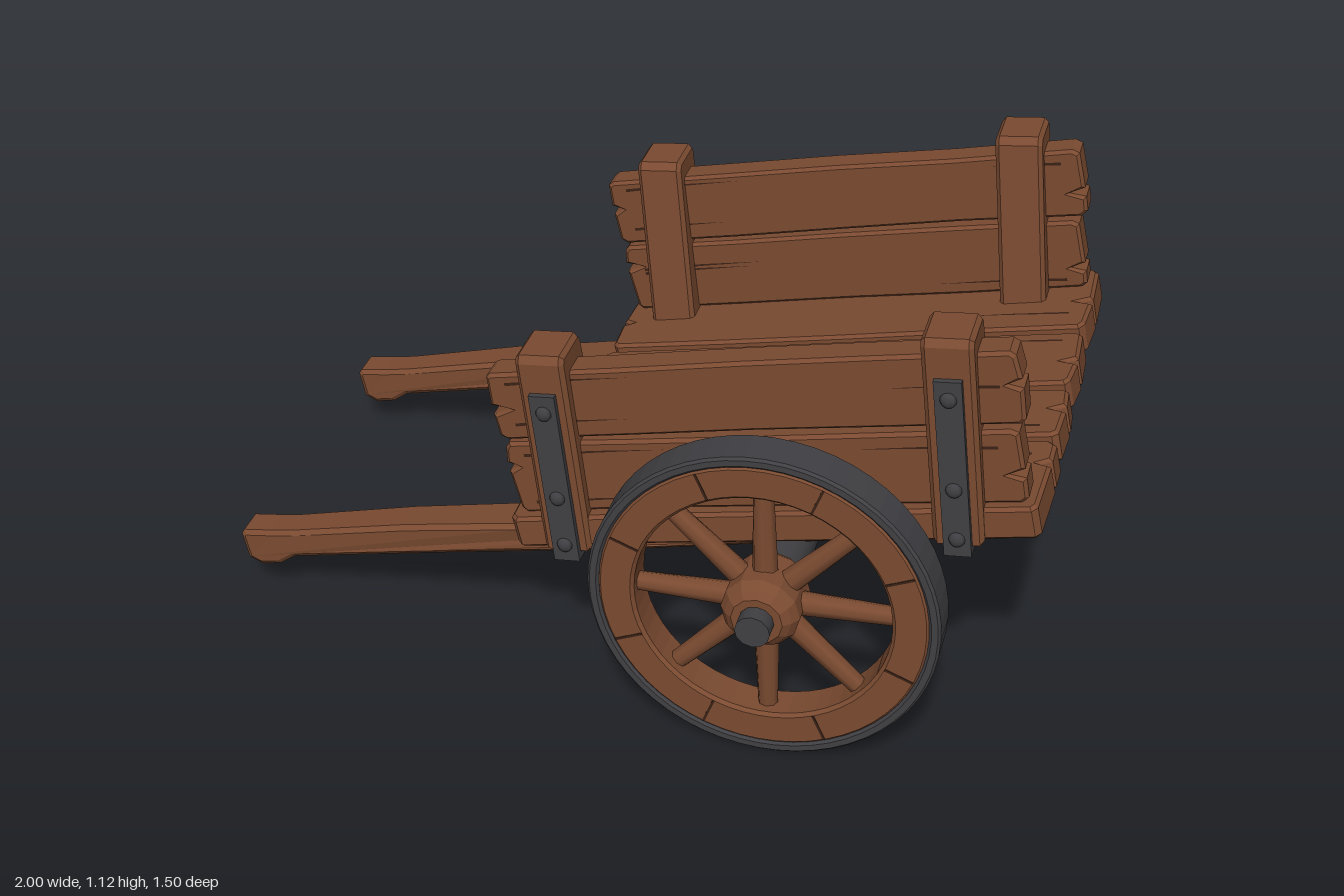
import * as THREE from 'three';

const wood = new THREE.MeshStandardMaterial({ color: 0x7b4b31 });
wood.name = 'wood';
const iron = new THREE.MeshStandardMaterial({ color: 0x404044 });
iron.name = 'iron';
const crackDark = new THREE.MeshStandardMaterial({ color: 0x3a2116, side: THREE.DoubleSide });
crackDark.name = 'crack dark';

const TILT = 0.216;

let seed = 7;
function rnd(a = -1, b = 1) {
  seed = (seed * 16807) % 2147483647;
  return a + (b - a) * (seed / 2147483647);
}

function add(parent, name, geometry, material, x = 0, y = 0, z = 0) {
  const mesh = new THREE.Mesh(geometry, material);
  mesh.name = name;
  mesh.position.set(x, y, z);
  parent.add(mesh);
  return mesh;
}

// Bevelled extrusion of an outline, centred on z
function slab(shape, depth, bevel, curveSegments = 1) {
  const g = new THREE.ExtrudeGeometry(shape, {
    depth: depth - 2 * bevel, bevelEnabled: bevel > 0, bevelThickness: bevel,
    bevelSize: bevel, bevelOffset: -bevel, bevelSegments: 1, curveSegments,
  });
  return g.translate(0, 0, bevel - depth / 2);
}

// Worn board: wavy long edges and a split notch in each end
function plank(length, width, thickness) {
  const l = length / 2, w = width / 2, pts = [];
  for (const s of [1, -1]) {
    for (let i = 0; i < 5; i++) pts.push([s * l * (-0.97 + i * 0.485), -s * (w - rnd(0, 0.007))]);
    const n = rnd(-0.4, 0.4) * w;
    pts.push([s * (l - rnd(0, 0.008)), -s * w * 0.85], [s * l, s * n - 0.012],
      [s * (l - rnd(0.025, 0.05)), s * n], [s * l, s * n + 0.012], [s * (l - rnd(0, 0.008)), s * w * 0.85]);
  }
  // Keep the notch corners in travel order on the second end
  [pts[16], pts[18]] = [pts[18], pts[16]];
  return slab(new THREE.Shape(pts.map((p) => new THREE.Vector2(...p))), thickness, 0.008);
}

// Thin dark splits lying on both faces of a board
function addCracks(board, length, width, thickness) {
  for (const side of [1, -1]) {
    for (let i = 0; i < 3; i++) {
      const len = rnd(0.15, 0.35), end = i % 2 ? 1 : -1;
      const s = new THREE.Shape([[0, -0.004], [len * 0.5, 0.003], [len, 0.006], [len * 0.5, 0.008], [0, 0.004]]
        .map((p) => new THREE.Vector2(...p)));
      const c = add(board, 'crack', new THREE.ShapeGeometry(s), crackDark,
        end * (length / 2 - 0.05), rnd(-0.36, 0.36) * width, side * (thickness / 2 + 0.0015));
      c.scale.x = -end;
    }
  }
}

function ring(outer, inner, depth, bevel) {
  const s = new THREE.Shape().absarc(0, 0, outer, 0, Math.PI * 2, false);
  s.holes.push(new THREE.Path().absarc(0, 0, inner, 0, Math.PI * 2, true));
  return slab(s, depth, bevel, 28);
}

function makeWheel(s) {
  const wheel = new THREE.Group();
  wheel.name = s > 0 ? 'frontWheel' : 'backWheel';
  wheel.position.set(0.405, 0.415, s * 0.62);
  add(wheel, 'ironTyre', ring(0.41, 0.383, 0.1, 0.006), iron);
  add(wheel, 'woodenRim', ring(0.386, 0.3, 0.096, 0.008), wood);
  for (let i = 0; i < 8; i++) {
    const arm = new THREE.Group();
    arm.name = 'spokeArm';
    arm.rotation.z = i * Math.PI / 4 + 0.04;
    wheel.add(arm);
    add(arm, 'spoke', new THREE.CylinderGeometry(0.023, 0.031, 0.27, 8).scale(1, 1, 0.9), wood, 0, 0.185, 0);
    // Joints between rim segments
    for (const f of [1, -1]) {
      const j = new THREE.Group();
      j.name = 'jointArm';
      j.rotation.z = 0.39;
      arm.add(j);
      add(j, 'rimJoint', new THREE.BoxGeometry(0.006, 0.07, 0.003), crackDark, 0, 0.343, f * 0.048);
    }
  }
  const hub = new THREE.LatheGeometry([[0, -0.075], [0.075, -0.075], [0.092, -0.05], [0.092, 0.055], [0.078, 0.075],
    [0.06, 0.09], [0, 0.09]].map((p) => new THREE.Vector2(...p)), 12).rotateX(s * Math.PI / 2).toNonIndexed();
  hub.computeVertexNormals();
  add(wheel, 'hub', hub, wood);
  add(wheel, 'axleEnd', new THREE.CylinderGeometry(0.041, 0.041, 0.07, 12).rotateX(Math.PI / 2), iron, 0, 0, s * 0.095);
  return wheel;
}

// Long shaft with a swollen grip, running under the bed
function makeShaft() {
  const outline = [[-0.985, 0.105], [-0.95, 0.09], [-0.9, 0.102], [-0.86, 0.132], [-0.5, 0.22], [0, 0.338], [0.4, 0.44],
    [0.935, 0.575], [0.92, 0.655], [0.4, 0.53], [-0.2, 0.385], [-0.26, 0.36], [-0.55, 0.295], [-0.86, 0.212],
    [-0.92, 0.2], [-0.992, 0.188], [-1, 0.175]];
  const g = slab(new THREE.Shape(outline.map((p) => new THREE.Vector2(...p))), 0.12, 0.012);
  const p = g.attributes.position;
  for (let i = 0; i < p.count; i++) {
    const t = THREE.MathUtils.clamp((p.getX(i) + 0.9) / 0.9, 0, 1);
    p.setZ(i, p.getZ(i) * (0.72 + 0.28 * t));
  }
  g.computeVertexNormals();
  return g;
}

// Upright clamping the side boards, thicker at its foot
function makePost(s) {
  const outline = [[0.55, -0.085], [0.552, 0.42], [0.54, 0.438], [0.43, 0.438], [0.415, 0.42], [0.375, -0.085]]
    .map(([z, y]) => new THREE.Vector2(z * s, y));
  // Rotating by -90 degrees maps the outline's x onto z
  return slab(new THREE.Shape(outline), 0.115, 0.01).rotateY(-Math.PI / 2);
}

export function createModel() {
  const cart = new THREE.Group();
  cart.name = 'handCart';

  const bed = new THREE.Group();
  bed.name = 'tiltedBed';
  bed.position.set(0.375, 0.588, 0);
  bed.rotation.z = TILT;
  cart.add(bed);

  // Floor planks: inner and outer z
  for (const [a, b] of [[-0.55, -0.25], [-0.232, 0.012], [0.03, 0.24], [0.257, 0.545]]) {
    const len = 1.255 + rnd(-0.008, 0.008);
    const floor = add(bed, 'floorPlank', plank(len, b - a, 0.082), wood, 0, -0.041, (a + b) / 2);
    floor.rotation.x = -Math.PI / 2;
    addCracks(floor, len, b - a, 0.082);
  }

  for (const s of [1, -1]) {
    // Side boards
    for (const [x, y, len, h] of [[0, 0.095, 1.21, 0.196], [0.013, 0.292, 1.235, 0.186]]) {
      const board = add(bed, 'sideBoard', plank(len, h, 0.075), wood, x, y, s * 0.48);
      addCracks(board, len, h, 0.075);
    }
    // Posts with bolted straps
    for (const x of [-0.485, 0.447]) {
      const post = new THREE.Group();
      post.name = 'postAssembly';
      post.position.x = x;
      post.rotation.z = -0.1;
      bed.add(post);
      add(post, 'post', makePost(s), wood);
      add(post, 'strap', new THREE.BoxGeometry(0.062, 0.45, 0.016), iron, 0, 0.12, s * 0.558);
      add(post, 'strapFoot', new THREE.BoxGeometry(0.062, 0.016, 0.1), iron, 0, -0.097, s * 0.514);
      for (const y of [-0.06, 0.07, 0.3]) {
        add(post, 'bolt', new THREE.SphereGeometry(0.019, 8, 6).scale(1, 1, 0.6), iron, 0, y, s * 0.566);
      }
    }
    add(cart, 'shaft', makeShaft(), wood, 0, 0, s * 0.39);
    cart.add(makeWheel(s));
  }

  // Axle
  add(cart, 'axle', new THREE.CylinderGeometry(0.064, 0.064, 1.12, 14).rotateX(Math.PI / 2), iron, 0.405, 0.415, 0);
  return cart;
}
